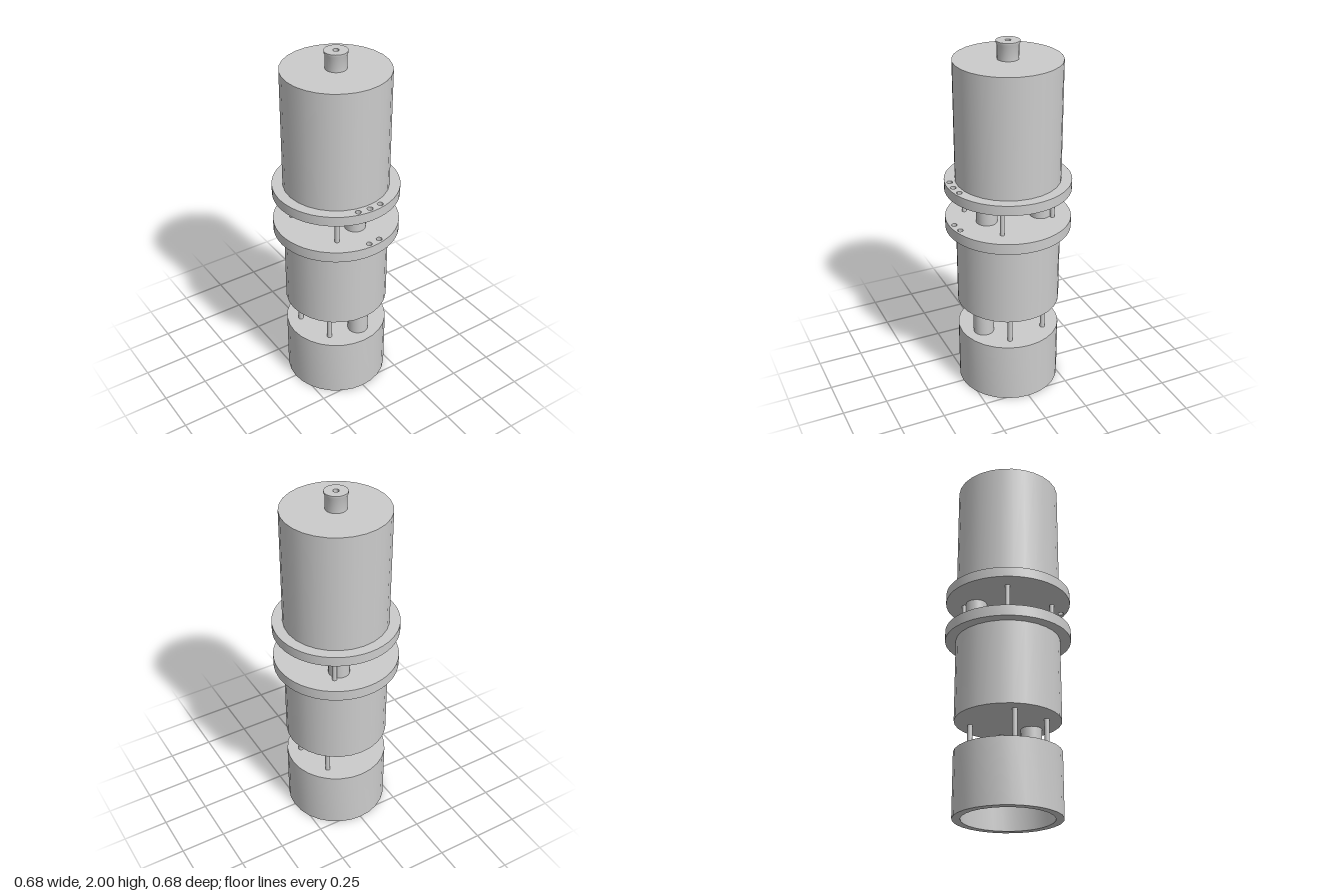
import * as THREE from 'three';
import { toCreasedNormals } from 'three/addons/utils/BufferGeometryUtils.js';

const SIDES = 28;
const BODY_R = 0.283;
const FLANGE_R = 0.34;

export function createModel() {
  const group = new THREE.Group();
  const material = new THREE.MeshStandardMaterial({ color: 0xcccccc });

  function add(name, geometry, x = 0, y = 0, z = 0) {
    const mesh = new THREE.Mesh(geometry, material);
    mesh.name = name;
    mesh.position.set(x, y, z);
    group.add(mesh);
    return mesh;
  }

  // Turned part from a profile of [radius, height] points, outside running upward
  function turned(name, profile, x = 0, z = 0, sides = SIDES) {
    const points = profile.map(([r, y]) => new THREE.Vector2(r, y));
    return add(name, toCreasedNormals(new THREE.LatheGeometry(points, sides), 0.6), x, 0, z);
  }

  // Closed cylinder between two heights
  function cylinder(name, r, y0, y1, x = 0, z = 0, sides = SIDES) {
    return add(name, new THREE.CylinderGeometry(r, r, y1 - y0, sides), x, (y0 + y1) / 2, z);
  }

  // Open-ended pipe with a wall
  function pipe(name, y0, y1, x, z) {
    const r = 0.057, inner = 0.047;
    turned(name, [[inner, y1], [inner, y0], [r, y0], [r, y1], [inner, y1]], x, z, 24);
  }

  // Flat round plate pierced by small holes near its front rim
  function flange(name, y0, y1, holes) {
    const shape = new THREE.Shape().absarc(0, 0, FLANGE_R, 0, Math.PI * 2);
    for (const [x, z] of holes) {
      shape.holes.push(new THREE.Path().absarc(x, -z, 0.0155, 0, Math.PI * 2, true));
    }
    const geometry = new THREE.ExtrudeGeometry(shape, {
      depth: y1 - y0, bevelEnabled: false, curveSegments: 26,
    });
    geometry.rotateX(-Math.PI / 2);
    add(name, toCreasedNormals(geometry, 0.5), 0, y0, 0);
  }

  // Bottom can, hollow and open underneath
  turned('bottomCan', [
    [0, 0.31], [0.24, 0.31], [0.24, 0], [BODY_R, 0], [BODY_R, 0.345], [0, 0.345],
  ]);

  // Middle and top cans
  cylinder('middleCan', BODY_R, 0.515, 0.98);
  cylinder('topCan', BODY_R, 1.24, 1.905);

  // Facing flanges; the lower middle hole is blind
  const rightHole = [-0.068, 0.305], middleHole = [0, 0.312], leftHole = [0.068, 0.305];
  flange('lowerFlange', 0.97, 1.03, [middleHole, leftHole]);
  cylinder('blindHoleFloor', 0.0157, 0.971, 0.985, ...middleHole, 16);
  flange('upperFlange', 1.195, 1.25, [rightHole, middleHole, leftHole]);

  // Thin support rods in opposite pairs
  for (const s of [1, -1]) {
    for (const [x, z] of [[0.192, 0.075], [0.142, -0.148]]) {
      cylinder('lowerRod', 0.0135, 0.335, 0.525, s * x, s * z, 16);
    }
    for (const [x, z] of [[0.203, 0.125], [0.128, -0.203]]) {
      cylinder('upperRod', 0.0125, 1.02, 1.205, s * x, s * z, 16);
    }
  }

  // Connecting pipes; the lower one reaches down into the bottom can
  pipe('lowerPipe', 0.19, 0.53, 0.037, 0.167);
  pipe('upperFrontPipe', 1.02, 1.21, 0.03, 0.138);
  pipe('upperBackPipe', 1.02, 1.21, 0.074, -0.157);

  // Neck with a small lip and a bore
  turned('neck', [
    [0.056, 1.9], [0.056, 1.978], [0.0615, 1.99], [0.0615, 2],
    [0.0155, 2], [0.0155, 1.93], [0, 1.93],
  ], 0, 0, 32);

  // Solid cover discs close the cans behind the flanges
  cylinder('middleCover', BODY_R - 0.01, 0.972, 1.028);
  cylinder('topCover', BODY_R - 0.01, 1.197, 1.248);

  return group;
}
